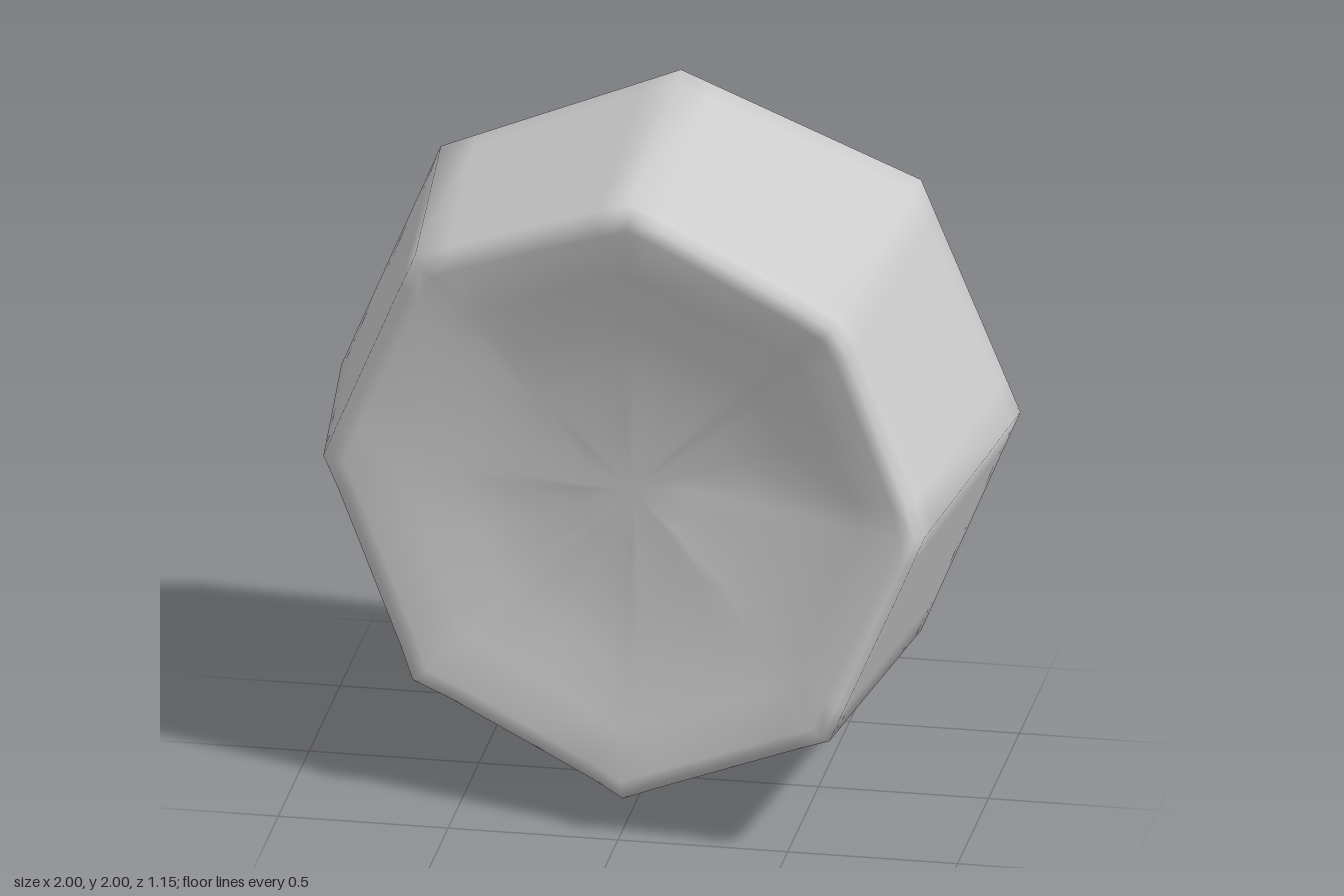
import * as THREE from 'three';

// Rim height (z) at the eight corners, counter-clockwise from +x
const RIM = [0.5, 0.455, 0.35, 0.225, 0.205, 0.285, 0.465, 0.575];
// How far each rim edge sags between its corners
const SAG = [0.035, 0.01, 0.01, 0.015, 0.02, 0.02, 0.01, 0.01];
// Points along one octagon side: the corner, two supports and the middle
const STEPS = [0, 0.15, 0.5, 0.85];

const wallRadius = (z) => 1 - 0.105 * (z + 0.52);

// Outline samples: unit octagon position plus local rim height
function outline() {
  const points = [];
  for (let k = 0; k < 8; k++) {
    const a = (k * Math.PI) / 4, b = ((k + 1) * Math.PI) / 4, n = (k + 1) % 8;
    for (const t of STEPS) {
      points.push({
        x: THREE.MathUtils.lerp(Math.cos(a), Math.cos(b), t),
        y: THREE.MathUtils.lerp(Math.sin(a), Math.sin(b), t),
        rim: THREE.MathUtils.lerp(RIM[k], RIM[n], t) - (t > 0 ? SAG[k] : 0),
      });
    }
  }
  return points;
}

function bodyGeometry() {
  // Each ring gives [radius, z] for an outline sample, from back to front
  const wall = (z) => () => [wallRadius(z), z];
  const rimRing = (drop, inset) => (p) => [wallRadius(p.rim) * inset, p.rim - drop];
  const dishRing = (s, depth) => (p) => [0.9 * s, p.rim * s + 0.38 * (1 - s) - depth];
  const rings = [
    () => [0.955, -0.575], // back chamfer
    wall(-0.52),
    wall(-0.44),
    (p) => [wallRadius(p.rim - 0.12), p.rim - 0.12],
    (p) => [wallRadius(p.rim - 0.04), p.rim - 0.04],
    rimRing(0.012, 0.975), // rounded rim
    rimRing(0, 0.93),
    dishRing(0.78, 0.035), // scooped front
    dishRing(0.6, 0.08),
    dishRing(0.4, 0.105),
    dishRing(0.2, 0.115),
  ];
  const points = outline(), n = points.length;
  const position = [], index = [];
  for (const ring of rings) {
    for (const p of points) {
      const [r, z] = ring(p);
      position.push(p.x * r, p.y * r + 1, z);
    }
  }
  const back = rings.length * n, front = back + 1, last = (rings.length - 1) * n;
  position.push(0, 1, -0.575, 0, 1, 0.262);
  for (let i = 0; i < n; i++) {
    const m = (i + 1) % n;
    index.push(back, m, i, front, last + i, last + m);
    for (let j = 0; j < rings.length - 1; j++) {
      const a = j * n + i, b = j * n + m;
      index.push(a, b, b + n, a, b + n, a + n);
    }
  }
  const geometry = new THREE.BufferGeometry();
  geometry.setAttribute('position', new THREE.Float32BufferAttribute(position, 3));
  geometry.setIndex(index);
  geometry.computeVertexNormals();
  return geometry;
}

export function createModel() {
  const group = new THREE.Group();
  group.name = 'octagonalButton';
  const body = new THREE.Mesh(bodyGeometry(), new THREE.MeshStandardMaterial({ color: 0xcccccc }));
  body.name = 'dishedBody';
  group.add(body);
  return group;
}
